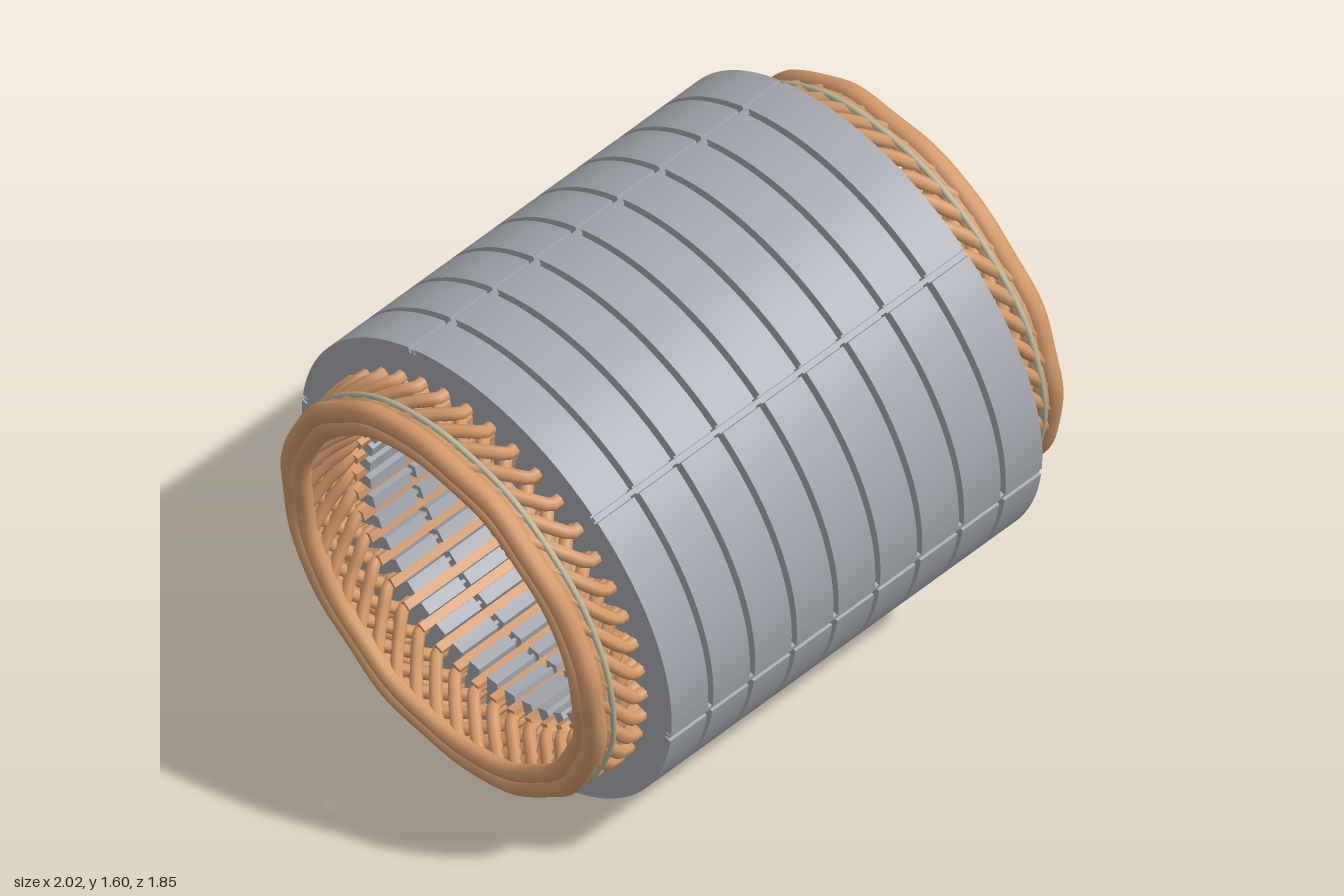
import * as THREE from 'three';
import { toCreasedNormals } from 'three/addons/utils/BufferGeometryUtils.js';

const SLOTS = 42, PACKS = 9, HALF = 0.65, GAP = 0.018;
const R_OUT = 0.697, R_BORE = 0.44, R_SLOT = 0.605;
const PITCH = (Math.PI * 2) / SLOTS;
const RIB_START = THREE.MathUtils.degToRad(17);

const mat = (name, color) => {
  const m = new THREE.MeshStandardMaterial({ color });
  m.name = name;
  return m;
};

const polar = (r, a, z) => new THREE.Vector3(r * Math.cos(a), r * Math.sin(a), z);

// Lamination outline: round outside with six rib grooves, slotted bore
function laminationShape() {
  const outer = [], bore = [];
  const put = (list, r, a) => list.push(new THREE.Vector2(r * Math.cos(a), r * Math.sin(a)));
  const g = 0.012 / R_OUT;
  for (let k = 0; k < 6; k++) {
    const a = RIB_START + (k * Math.PI) / 3;
    put(outer, R_OUT - 0.018, a - g);
    put(outer, R_OUT - 0.018, a + g);
    for (let i = 0; i <= 24; i++) put(outer, R_OUT, a + g + (i / 24) * (Math.PI / 3 - 2 * g));
  }
  const h = 0.0145;
  for (let k = 0; k < SLOTS; k++) {
    const a = k * PITCH, hb = h / R_BORE, ht = h / R_SLOT;
    put(bore, R_BORE, a - hb);
    put(bore, R_SLOT, a - ht);
    put(bore, R_SLOT, a + ht);
    put(bore, R_BORE, a + hb);
    put(bore, R_BORE, a + PITCH / 2);
  }
  const shape = new THREE.Shape(outer);
  shape.holes.push(new THREE.Path(bore));
  return shape;
}

// Radial box spanning r0..r1, centred on z = 0, repeated round the axis
function radialBoxes(name, count, start, r0, r1, width, length, material) {
  const group = new THREE.Group();
  group.name = name;
  const geo = new THREE.BoxGeometry(r1 - r0, width, length);
  geo.translate((r0 + r1) / 2, 0, 0);
  for (let k = 0; k < count; k++) {
    const m = new THREE.Mesh(geo, material);
    m.name = name;
    m.rotation.z = start + (k * Math.PI * 2) / count;
    group.add(m);
  }
  return group;
}

// Slightly wavy closed ring of cable
function ring(name, radius, z, tube, wave, material) {
  const pts = [];
  for (let i = 0; i < 84; i++) {
    const a = (i / 84) * Math.PI * 2;
    pts.push(polar(radius + wave * Math.sin(a * 14), a, z + wave * Math.cos(a * 9)));
  }
  const curve = new THREE.CatmullRomCurve3(pts, true);
  const m = new THREE.Mesh(new THREE.TubeGeometry(curve, 168, tube, 10, true), material);
  m.name = name;
  return m;
}

// One layer of slanted coil ends, from the slots out to the rim
function coilLayer(name, rSlot, rRim, twist, tube, material) {
  const group = new THREE.Group();
  group.name = name;
  const rMid = (rSlot + rRim) / 2;
  const curve = new THREE.CatmullRomCurve3([
    polar(rSlot, 0, HALF - 0.02),
    polar(rSlot, 0, HALF + 0.025),
    polar(rSlot, twist * PITCH * 0.15, HALF + 0.05),
    polar(rMid, twist * PITCH * 0.55, HALF + 0.095),
    polar(rRim, twist * PITCH, HALF + 0.145),
  ]);
  const geo = new THREE.TubeGeometry(curve, 12, tube, 7);
  for (let k = 0; k < SLOTS; k++) {
    const m = new THREE.Mesh(geo, material);
    m.name = name;
    m.rotation.z = k * PITCH;
    group.add(m);
  }
  return group;
}

function endWinding(copper, cord) {
  const g = new THREE.Group();
  g.add(
    coilLayer('outerCoilEnds', 0.59, 0.568, 1.8, 0.019, copper),
    coilLayer('middleCoilEnds', 0.565, 0.55, -1.8, 0.019, copper),
    coilLayer('innerCoilEnds', 0.485, 0.525, 1.8, 0.018, copper),
    coilLayer('innerCrossingCoilEnds', 0.505, 0.535, -1.8, 0.018, copper),
    ring('outerRimCable', 0.57, 0.8, 0.03, 0.003, copper),
    ring('innerRimCable', 0.528, 0.805, 0.025, 0.002, copper),
    ring('backRimCable', 0.565, 0.765, 0.024, 0.003, copper),
    ring('lacingCord', 0.59, 0.755, 0.009, 0.001, cord)
  );
  return g;
}

export function createModel() {
  const steel = mat('steel', 0xa6aab1);
  const copper = mat('copper', 0xd49b6b);
  const cord = mat('cord', 0xb9b89c);

  const model = new THREE.Group();
  model.name = 'stator';
  const body = new THREE.Group();
  body.name = 'statorBody';
  model.add(body);

  // Laminated core packs separated by cooling gaps
  const thick = (2 * HALF - (PACKS - 1) * GAP) / PACKS;
  const packGeo = toCreasedNormals(
    new THREE.ExtrudeGeometry(laminationShape(), { depth: thick, bevelEnabled: false }), 0.4);
  for (let i = 0; i < PACKS; i++) {
    const pack = new THREE.Mesh(packGeo, steel);
    pack.name = 'corePack';
    pack.position.z = -HALF + i * (thick + GAP);
    body.add(pack);
  }

  // Ribs in the outer grooves, gap spacers inside the teeth, coil legs in the slots
  body.add(
    radialBoxes('outerRib', 6, RIB_START, 0.66, R_OUT - 0.006, 0.013, 2 * HALF - 0.002, steel),
    radialBoxes('gapSpacer', SLOTS, PITCH / 2, 0.455, 0.655, 0.01, 2 * HALF - 0.02, steel),
    radialBoxes('coilLeg', SLOTS, 0, 0.458, 0.6, 0.026, 2 * HALF + 0.06, copper)
  );

  // Woven windings at both ends
  const front = endWinding(copper, cord);
  front.name = 'endWinding';
  const back = endWinding(copper, cord);
  back.name = 'oppositeEndWinding';
  back.rotation.y = Math.PI;
  body.add(front, back);

  // Tilt the axis into place
  const axis = new THREE.Vector3(0.853, 0.177, -0.491).normalize();
  const up = new THREE.Vector3(0, 1, 0).addScaledVector(axis, -axis.y).normalize();
  const side = new THREE.Vector3().crossVectors(up, axis);
  body.quaternion.setFromRotationMatrix(new THREE.Matrix4().makeBasis(side, up, axis));
  body.position.y = 0.801;
  return model;
}
